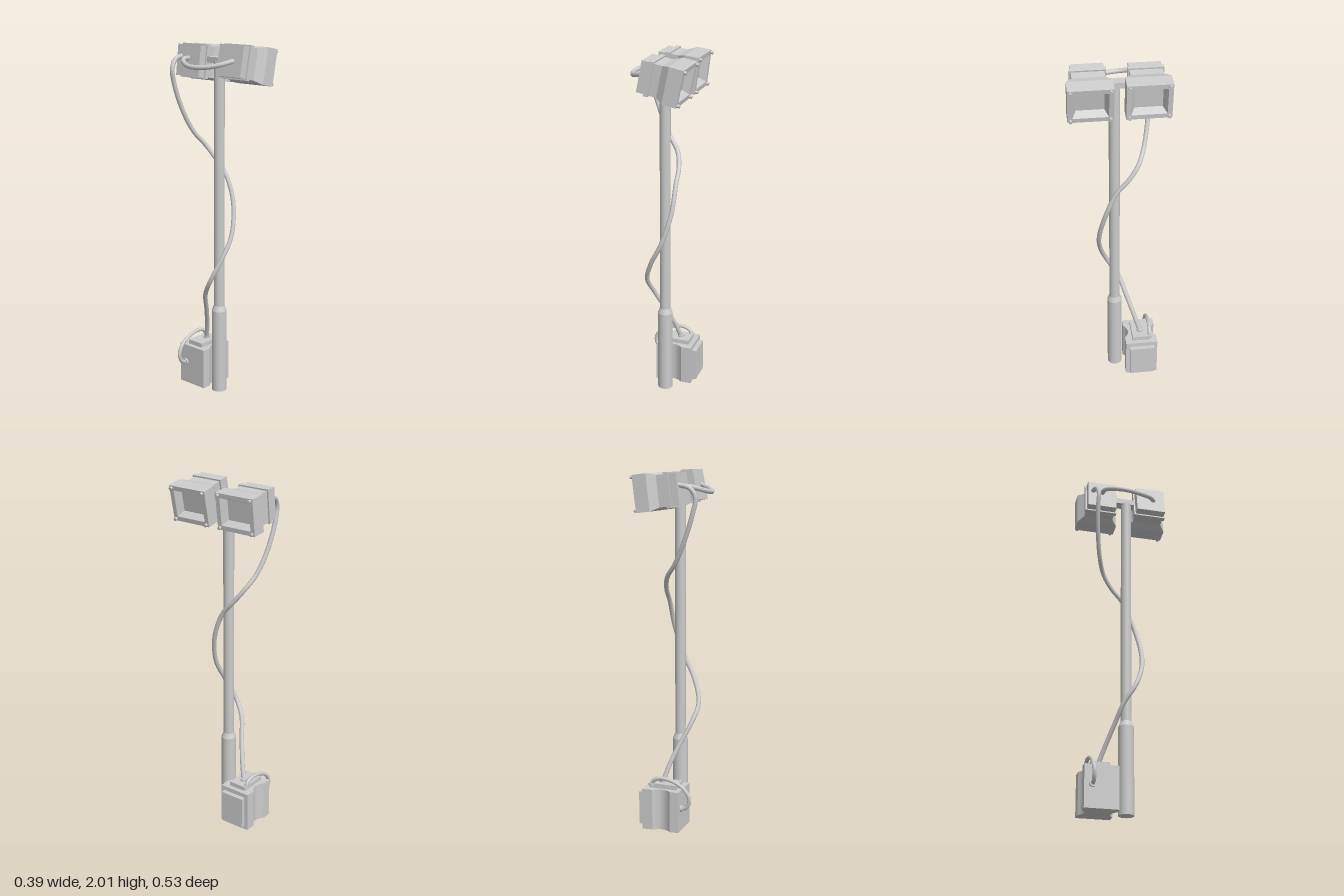
import * as THREE from 'three';

const grey = new THREE.MeshStandardMaterial({ color: 0xcccccc });

function add(parent, name, geometry, x = 0, y = 0, z = 0) {
  const mesh = new THREE.Mesh(geometry, grey);
  mesh.name = name;
  mesh.position.set(x, y, z);
  parent.add(mesh);
  return mesh;
}

// Flat-faced solid through rectangular sections [x, height, width] along x
function loftRects(sections) {
  const pos = [];
  const rings = sections.map(([x, h, w]) =>
    [[-1, 1], [-1, -1], [1, -1], [1, 1]].map(([sy, sz]) => [x, sy * h / 2, sz * w / 2]));
  for (let i = 0; i < rings.length - 1; i++) {
    for (let j = 0; j < 4; j++) {
      const k = (j + 1) % 4;
      const a = rings[i][j], b = rings[i][k], c = rings[i + 1][k], d = rings[i + 1][j];
      if (sections[i][1] > 0) pos.push(...a, ...b, ...c);
      if (sections[i + 1][1] > 0) pos.push(...a, ...c, ...d);
      else pos.push(...b, ...c, ...a);
    }
  }
  const geo = new THREE.BufferGeometry();
  geo.setAttribute('position', new THREE.Float32BufferAttribute(pos, 3));
  geo.computeVertexNormals();
  return geo;
}

function cable(parent, name, points, segments, radius = 0.013) {
  const curve = new THREE.CatmullRomCurve3(points.map(p => new THREE.Vector3(...p)));
  add(parent, name, new THREE.TubeGeometry(curve, segments, radius, 10));
}

// Floodlight facing +x, tilted down
function lamp(name, x, y, z, tilt) {
  const g = new THREE.Group();
  g.name = name;
  g.position.set(x, y, z);
  g.rotation.z = -tilt;
  // Housing with flared front and a tapered recess ending in the lens
  add(g, 'lampHousing', loftRects([
    [-0.07, 0, 0], [-0.07, 0.17, 0.17], [0.042, 0.17, 0.17], [0.086, 0.2, 0.235],
    [0.165, 0.2, 0.235], [0.165, 0.15, 0.185], [0.125, 0.11, 0.145], [0.125, 0, 0],
  ]));
  add(g, 'lampBand', new THREE.BoxGeometry(0.024, 0.186, 0.188), -0.015, 0, 0);
  // Corner bolts on the front rim
  for (const sy of [-1, 1]) for (const sz of [-1, 1]) {
    const bolt = add(g, 'cornerBolt', new THREE.CylinderGeometry(0.009, 0.009, 0.02, 10), 0.17, sy * 0.088, sz * 0.102);
    bolt.rotation.z = Math.PI / 2;
  }
  return g;
}

export function createModel() {
  const model = new THREE.Group();
  model.name = 'floodlightMast';

  // Pole with a thicker sleeve at the foot
  const profile = (pts) => pts.map(p => new THREE.Vector2(...p));
  const poleZ = 0.012;
  add(model, 'poleSleeve', new THREE.LatheGeometry(profile([[0, 0], [0.043, 0]]), 20), 0, 0, poleZ);
  add(model, 'poleSleeveWall', new THREE.CylinderGeometry(0.043, 0.043, 0.49, 20, 1, true), 0, 0.245, poleZ);
  add(model, 'poleTaper', new THREE.CylinderGeometry(0.031, 0.043, 0.03, 20, 1, true), 0, 0.505, poleZ);
  add(model, 'poleUpper', new THREE.CylinderGeometry(0.03, 0.03, 1.4, 20), 0, 1.21, poleZ);

  // Lamps and the bracket joining them
  model.add(lamp('frontLamp', 0.002, 1.91, 0.148, 0.2));
  model.add(lamp('backLamp', -0.004, 1.9, -0.15, 0.12));
  add(model, 'lampBracket', new THREE.BoxGeometry(0.06, 0.032, 0.15), 0.005, 1.915, 0);

  // Control box with a vertical groove in each side
  const boxGroup = new THREE.Group();
  boxGroup.name = 'controlBox';
  model.add(boxGroup);
  const plan = new THREE.Shape();
  plan.moveTo(-0.075, 0.042);
  plan.lineTo(-0.025, 0.042);
  plan.quadraticCurveTo(0.028, 0.09, 0.08, 0.042);
  plan.lineTo(0.14, 0.042);
  plan.lineTo(0.14, 0.23);
  plan.lineTo(0.08, 0.23);
  plan.quadraticCurveTo(0.028, 0.182, -0.025, 0.23);
  plan.lineTo(-0.075, 0.23);
  plan.closePath();
  const bodyGeo = new THREE.ExtrudeGeometry(plan, { depth: 0.235, bevelEnabled: false, curveSegments: 8 });
  bodyGeo.rotateX(-Math.PI / 2);
  add(boxGroup, 'boxBody', bodyGeo, 0, 0.01, 0);
  add(boxGroup, 'boxPanel', new THREE.BoxGeometry(0.03, 0.19, 0.145), 0.152, 0.125, -0.137);
  add(boxGroup, 'boxLid', new THREE.BoxGeometry(0.16, 0.025, 0.105), 0.033, 0.257, -0.137);

  // Cable sockets
  add(boxGroup, 'lidSocket', new THREE.CylinderGeometry(0.02, 0.02, 0.012, 12), 0.05, 0.274, -0.135);
  add(boxGroup, 'lidSocket', new THREE.CylinderGeometry(0.018, 0.018, 0.012, 12), 0.1, 0.264, -0.185);
  const socket = add(boxGroup, 'sideSocket', new THREE.CylinderGeometry(0.02, 0.02, 0.014, 12), -0.08, 0.14, -0.185);
  socket.rotation.z = Math.PI / 2;

  // Cable between the lamps
  cable(model, 'lampCable', [
    [-0.06, 1.92, -0.15], [-0.11, 1.92, -0.145], [-0.155, 1.905, -0.105], [-0.183, 1.89, -0.03],
    [-0.165, 1.89, 0.06], [-0.12, 1.905, 0.13], [-0.055, 1.925, 0.172],
  ], 28);

  // Long cable winding down the pole to the box
  cable(model, 'mainCable', [
    [-0.06, 1.93, -0.207], [-0.125, 1.915, -0.198], [-0.157, 1.865, -0.19], [-0.142, 1.78, -0.19],
    [-0.09, 1.63, -0.177], [-0.03, 1.51, -0.152], [0.03, 1.43, -0.115], [0.055, 1.355, -0.06],
    [0.06, 1.28, 0.005], [0.055, 1.13, 0.067], [0.005, 0.95, 0.1], [-0.06, 0.82, 0.085],
    [-0.1, 0.7, 0.04], [-0.08, 0.6, -0.02], [-0.03, 0.49, -0.06], [0.02, 0.37, -0.102], [0.05, 0.27, -0.135],
  ], 90);

  // Short cable arching from the lid into the side of the box
  cable(model, 'boxCable', [
    [0.1, 0.25, -0.185], [0.09, 0.285, -0.188], [0.045, 0.305, -0.19], [-0.04, 0.29, -0.19],
    [-0.105, 0.245, -0.19], [-0.126, 0.195, -0.188], [-0.108, 0.15, -0.186], [-0.07, 0.138, -0.185],
  ], 32, 0.011);

  return model;
}
